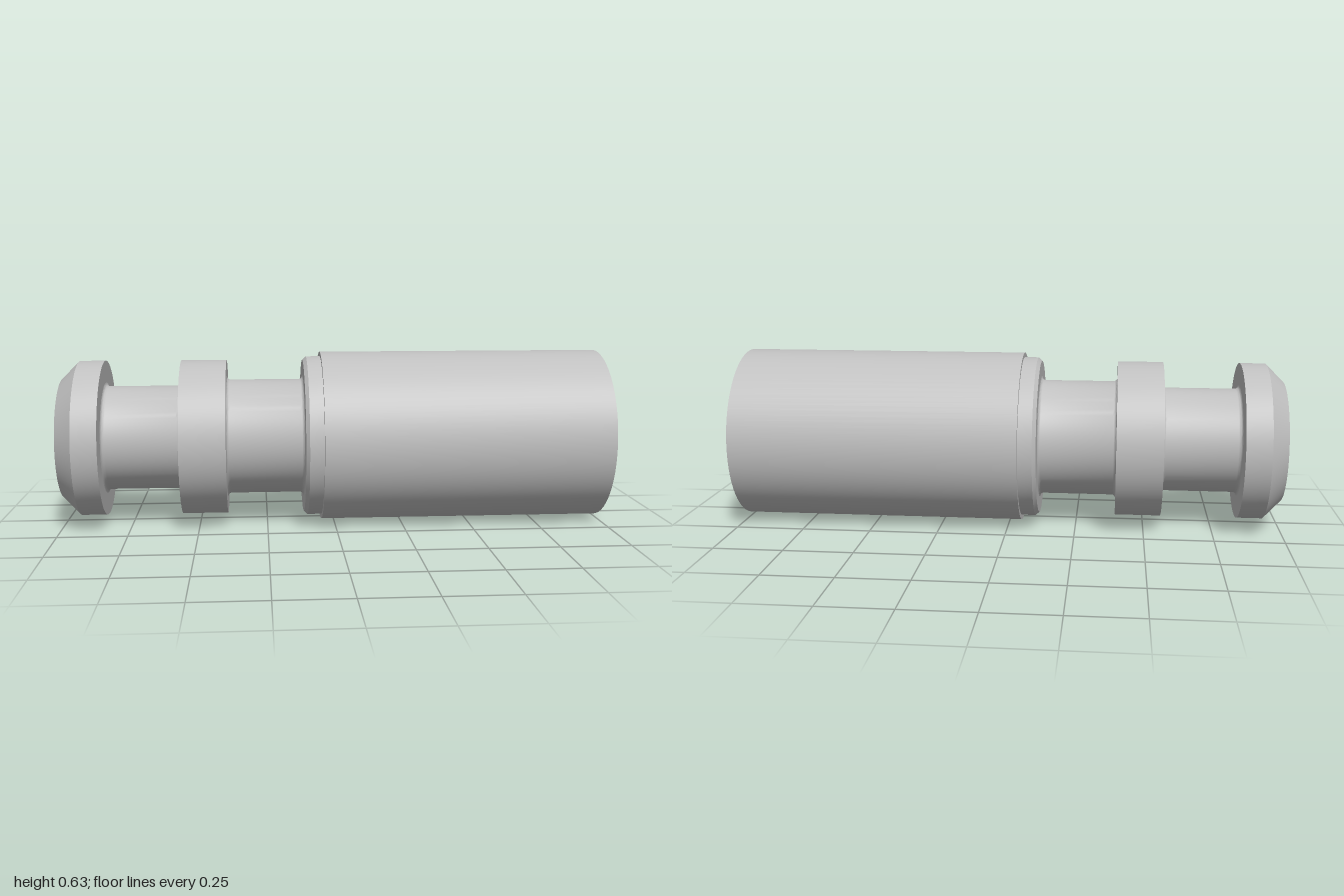
import * as THREE from 'three';
import { toCreasedNormals } from 'three/addons/utils/BufferGeometryUtils.js';

const SEGMENTS = 96;
const RADIUS = 0.315; // largest radius, also the height of the axis

// Quarter-round corner between a neck and a flange: [x, r] points about centre (cx, cr)
function fillet(cx, cr, size, from, to, steps = 5) {
  return Array.from({ length: steps + 1 }, (_, i) => {
    const a = from + ((to - from) * i) / steps;
    return [cx + size * Math.cos(a), cr + size * Math.sin(a)];
  });
}

// Neck with filleted ends, running from x0 to x1
function neckProfile(x0, x1, r, f = 0.014) {
  return [
    ...fillet(x0 + f, r + f, f, Math.PI, Math.PI * 1.5),
    ...fillet(x1 - f, r + f, f, Math.PI * 1.5, Math.PI * 2),
  ];
}

export function createModel() {
  const model = new THREE.Group();
  model.name = 'hoseFitting';
  const metal = new THREE.MeshStandardMaterial({ color: 0xc0c0c0 });
  metal.name = 'greyMetal';

  // Turn a profile of [x, r] points about the x axis
  function turn(name, profile) {
    const points = profile.map(([x, r]) => new THREE.Vector2(r, x));
    const lathe = new THREE.LatheGeometry(points, SEGMENTS).rotateZ(-Math.PI / 2);
    const mesh = new THREE.Mesh(toCreasedNormals(lathe, 0.5), metal);
    mesh.name = name;
    mesh.position.y = RADIUS;
    model.add(mesh);
  }

  // Chamfered end flange and its neck
  turn('endFlange', [[-1, 0.15], [-1, 0.222], [-0.935, 0.287], [-0.843, 0.287], [-0.843, 0.206]]);
  turn('endNeck', neckProfile(-0.843, -0.563, 0.192));

  // Middle collar and second neck
  turn('middleCollar', [[-0.563, 0.206], [-0.563, 0.287], [-0.396, 0.287], [-0.396, 0.227]]);
  turn('middleNeck', neckProfile(-0.396, -0.113, 0.213));

  // Chamfered shoulder stepping up to the sleeve
  turn('shoulder', [[-0.113, 0.227], [-0.113, 0.285], [-0.1, 0.298], [-0.048, 0.298]]);

  // Outer sleeve, with its slightly tapered inner wall and the groove floor
  turn('sleeve', [[-0.048, 0.298], [-0.048, RADIUS], [1, RADIUS], [1, 0.282], [0.1, 0.266]]);
  turn('grooveFloor', [[0.1, 0.266], [0.1, 0.193]]);

  // Inner tube, and the through bore with a countersunk far end
  turn('innerTube', [[0.1, 0.193], [1, 0.177], [1, 0.133]]);
  turn('bore', [[1, 0.133], [-0.983, 0.133], [-1, 0.15]]);

  return model;
}
